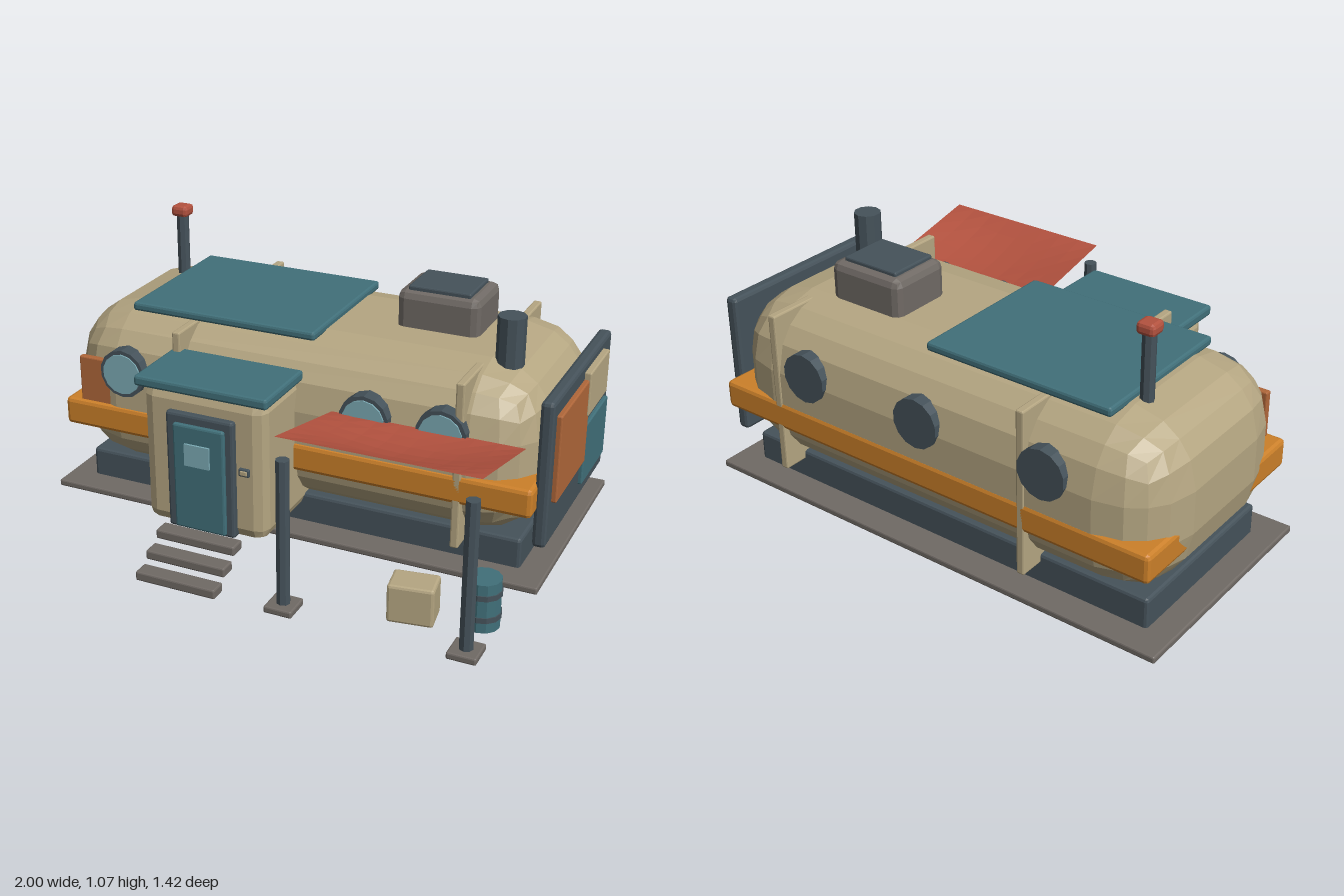
import * as THREE from 'three';
import { RoundedBoxGeometry } from 'three/addons/geometries/RoundedBoxGeometry.js';

const paint = (name, color, extra = {}) => {
  const m = new THREE.MeshStandardMaterial({ color, flatShading: true, ...extra });
  m.name = name;
  return m;
};

export function createModel() {
  const sand = paint('sand', 0xb5a682);
  const teal = paint('teal', 0x41707a);
  const slate = paint('slate', 0x45525a);
  const grey = paint('grey', 0x706a65);
  const orange = paint('orange', 0xcc8029);
  const rust = paint('rust', 0xb0673a);
  const glass = paint('glass', 0x7cabb5);
  const red = paint('red', 0xb3523f, { side: THREE.DoubleSide });

  const model = new THREE.Group();
  model.name = 'habitatModule';

  const add = (name, geometry, material, x = 0, y = 0, z = 0, parent = model) => {
    const mesh = new THREE.Mesh(geometry, material);
    mesh.name = name;
    mesh.position.set(x, y, z);
    parent.add(mesh);
    return mesh;
  };
  // Bevelled box given by its limits on each axis
  const block = (name, material, [x0, x1], [y0, y1], [z0, z1], bevel = 0.008, segments = 1) =>
    add(name, new RoundedBoxGeometry(x1 - x0, y1 - y0, z1 - z0, segments, bevel), material,
      (x0 + x1) / 2, (y0 + y1) / 2, (z0 + z1) / 2);
  // Upright cylinder from y0 to y1
  const pole = (name, material, x, z, r, y0, y1, sides = 8) =>
    add(name, new THREE.CylinderGeometry(r, r, y1 - y0, sides), material, x, (y0 + y1) / 2, z);

  // Ground slab and plinth
  block('groundSlab', grey, [-1, 0.98], [0.03, 0.056], [-0.71, 0.21], 0.006);
  block('plinth', slate, [-0.9, 0.88], [0.029, 0.17], [-0.6, 0.1], 0.012);

  // Rounded hull, ribs, stripe and side patch
  block('hull', sand, [-0.97, 0.93], [0.14, 0.785], [-0.69, 0.185], 0.24, 2);
  for (const x of [-0.45, 0.66])
    block('rib', sand, [x - 0.016, x + 0.016], [0.135, 0.775], [-0.695, 0.195], 0.006);
  block('stripe', orange, [-0.955, 0.935], [0.31, 0.42], [-0.695, 0.195], 0.016);
  block('sidePatch', rust, [-0.89, -0.53], [0.4, 0.6], [0.15, 0.178], 0.005);

  // Round windows: glazed in front, shuttered behind
  const disc = (name, material, x, z, r, depth) => {
    const mesh = add(name, new THREE.CylinderGeometry(r, r, depth, 14), material, x, 0.573, z);
    mesh.rotation.x = Math.PI / 2;
  };
  for (const x of [-0.68, 0.31, 0.6]) {
    disc('windowFrame', slate, x, 0.175, 0.095, 0.07);
    disc('windowGlass', glass, x, 0.212, 0.08, 0.008);
  }
  for (const x of [-0.54, -0.01, 0.51]) disc('rearShutter', slate, x, -0.67, 0.095, 0.07);

  // Entrance porch with door and steps
  block('porch', sand, [-0.46, 0.03], [0.12, 0.67], [0, 0.435], 0.045);
  block('porchRoof', teal, [-0.48, 0.05], [0.66, 0.7], [0.15, 0.453], 0.01);
  block('doorFrame', slate, [-0.35, -0.08], [0.13, 0.59], [0.4, 0.46], 0.01);
  block('door', teal, [-0.315, -0.11], [0.14, 0.555], [0.43, 0.475], 0.008);
  add('doorWindow', new THREE.BoxGeometry(0.1, 0.085, 0.008), glass, -0.215, 0.443, 0.479);
  block('keypad', slate, [-0.067, -0.025], [0.383, 0.413], [0.42, 0.447], 0.004);
  block('keypadCover', sand, [-0.06, -0.032], [0.389, 0.407], [0.43, 0.451], 0.003);
  for (let i = 0; i < 3; i++) {
    const y = i * 0.047, z = 0.605 - i * 0.077;
    block('step', grey, [-0.375, -0.055], [y, y + 0.036], [z, z + 0.066], 0.006);
  }

  // Roof equipment
  block('roofPanel', teal, [-0.71, 0.05], [0.774, 0.808], [-0.56, 0.06], 0.01);
  block('ventHousing', grey, [0.265, 0.585], [0.74, 0.925], [-0.455, -0.195], 0.03);
  block('ventLid', slate, [0.303, 0.545], [0.915, 0.94], [-0.42, -0.22], 0.006);
  pole('chimney', slate, 0.748, 0 - 0.075, 0.052, 0.72, 0.945, 10);
  pole('mast', slate, -0.74, -0.395, 0.025, 0.7, 1.03);
  block('mastCap', red, [-0.775, -0.705], [1.02, 1.065], [-0.43, -0.36], 0.014);

  // End wall with patch panels
  block('endPanel', slate, [0.925, 0.975], [0.172, 0.732], [-0.625, 0.132], 0.014);
  block('endPatchRust', rust, [0.95, 0.994], [0.34, 0.672], [-0.275, 0.09], 0.005);
  block('endPatchSand', sand, [0.95, 1], [0.53, 0.7], [-0.508, -0.253], 0.005);
  block('endPatchTeal', teal, [0.95, 0.99], [0.24, 0.48], [-0.58, -0.275], 0.005);

  // Awning: a sheet that rises outwards and sags in the middle
  const sheet = new THREE.PlaneGeometry(0.72, 0.465, 8, 6).rotateX(-Math.PI / 2);
  const p = sheet.attributes.position;
  for (let i = 0; i < p.count; i++) {
    const u = p.getX(i) / 0.72 + 0.5, t = p.getZ(i) / 0.465 + 0.5;
    p.setY(i, 0.583 + 0.103 * t - 0.04 * Math.sin(Math.PI * t) * Math.sin(Math.PI * u));
  }
  sheet.computeVertexNormals();
  add('awning', sheet, red, 0.545, 0, 0.4325);
  for (const x of [0.212, 0.877]) {
    pole('awningPost', slate, x, 0.66, 0.025, 0.04, 0.605);
    block('postFoot', grey, [x - 0.053, x + 0.053], [0.03, 0.056], [0.607, 0.713], 0.006);
  }

  // Barrel and crate beneath the awning
  pole('barrel', teal, 0.862, 0.453, 0.063, 0.025, 0.21, 12);
  for (const y of [0.075, 0.16]) pole('barrelBand', slate, 0.862, 0.453, 0.067, y - 0.01, y + 0.01, 12);
  const crate = block('crate', sand, [0.552, 0.717], [0.028, 0.173], [0.455, 0.575], 0.01);
  crate.rotation.y = 0.15;

  return model;
}
